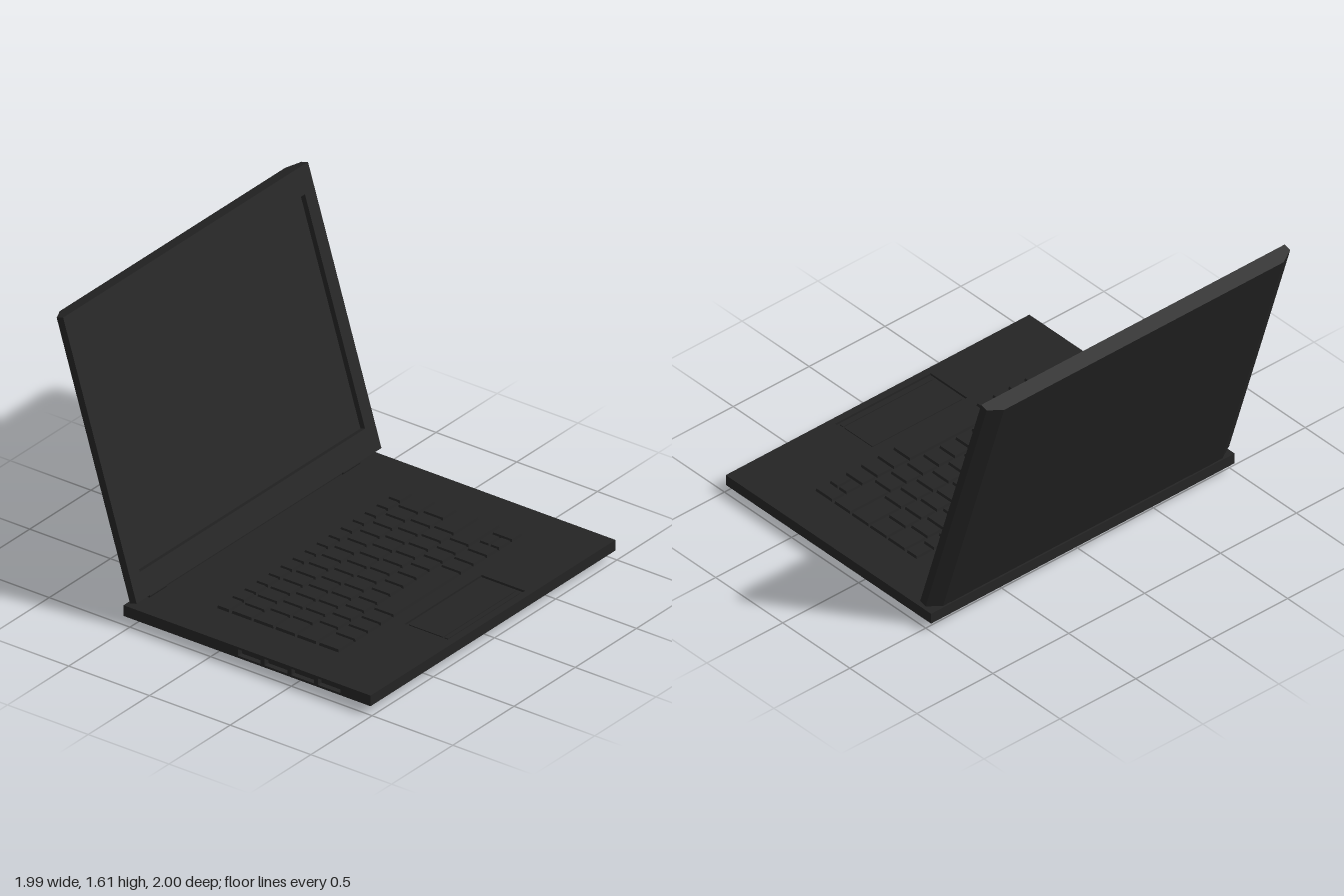
import * as THREE from 'three';

const material = new THREE.MeshStandardMaterial({ color: 0x242424, flatShading: true });

function add(parent, name, geometry, x = 0, y = 0, z = 0) {
  const mesh = new THREE.Mesh(geometry, material);
  mesh.name = name;
  mesh.position.set(x, y, z);
  parent.add(mesh);
  return mesh;
}

const outline = (points) => new THREE.Shape(points.map(([x, y]) => new THREE.Vector2(x, y)));
const rectangle = (x0, x1, y0, y1) => outline([[x0, y0], [x1, y0], [x1, y1], [x0, y1]]);
const extrude = (shape, depth) => new THREE.ExtrudeGeometry(shape, { depth, bevelEnabled: false });

// Plan outline (x, -z) raised along y
const slab = (shape, height) => extrude(shape, height).rotateX(-Math.PI / 2);

// Box whose top or bottom face is drawn in by the given amounts
function taperedBox(w, h, d, insetX, insetZ, atTop) {
  const geometry = new THREE.BoxGeometry(w, h, d);
  const p = geometry.attributes.position;
  for (let i = 0; i < p.count; i++) {
    if ((p.getY(i) > 0) !== atTop) continue;
    p.setX(i, p.getX(i) - Math.sign(p.getX(i)) * insetX);
    p.setZ(i, p.getZ(i) - Math.sign(p.getZ(i)) * insetZ);
  }
  geometry.computeVertexNormals();
  return geometry;
}

const BACK = -0.54, FRONT = 0.99;

function buildBase() {
  const base = new THREE.Group();
  base.name = 'base';
  add(base, 'bevelledUnderside', taperedBox(FRONT - BACK, 0.05, 2, 0.07, 0.09, false), (FRONT + BACK) / 2, 0.025, 0);
  add(base, 'lowerSlab', slab(rectangle(BACK, FRONT, -1, 1), 0.012), 0, 0.05, 0);

  // Middle layer, notched along one side for the ports
  const points = [[BACK, -1]];
  for (const x of [0.17, 0.335, 0.5, 0.665]) {
    points.push([x, -1], [x, -0.97], [x + 0.14, -0.97], [x + 0.14, -1]);
  }
  points.push([FRONT, -1], [FRONT, 1], [BACK, 1]);
  add(base, 'portLayer', slab(outline(points), 0.036), 0, 0.062, 0);

  // Top deck with the touchpad opening
  const deck = rectangle(BACK, FRONT, -1, 1);
  deck.holes.push(rectangle(0.68, 0.95, -0.315, 0.315));
  add(base, 'deck', slab(deck, 0.012), 0, 0.098, 0);
  add(base, 'touchpad', new THREE.BoxGeometry(0.21, 0.006, 0.59), 0.8, 0.1, 0);
  add(base, 'touchpadButton', new THREE.BoxGeometry(0.022, 0.006, 0.59), 0.924, 0.1, 0);
  return base;
}

function buildKeyboard() {
  const keyboard = new THREE.Group();
  keyboard.name = 'keyboard';
  const gap = 0.01;
  const key = (x0, x1, z0, z1) => add(keyboard, 'key',
    taperedBox(x1 - x0, 0.02, z1 - z0 - gap, 0.004, 0.004, true), (x0 + x1) / 2, 0.115, (z0 + z1) / 2);
  const many = (n, width) => Array(n).fill(width);

  // Each row: front-to-back range, then relative key widths from -z to +z
  const rows = [
    [-0.155, -0.08, [1.15, ...many(13, 1), 1.25]],
    [-0.065, 0.06, [1.45, ...many(13, 1)]],
    [0.07, 0.195, [1.2, ...many(12, 1), 1.3]],
    [0.205, 0.33, [2.05, ...many(11, 1), 1.35]],
    [0.34, 0.46, [2.5, ...many(10, 1), 1.7]],
    [0.475, 0.6, [0.9, 1, 0.95, 1.05, 1, 5.25, 1, 1, 1, 1.3]],
  ];
  rows.forEach(([x0, x1, widths], row) => {
    const unit = 1.51 / widths.reduce((a, b) => a + b);
    let z = -0.76;
    widths.forEach((width, i) => {
      const end = z + width * unit;
      if (row === 5 && i === 1) {
        // Two half-size arrow keys
        key(x0, 0.533, z, end);
        key(0.542, x1, z, end);
      } else key(x0, x1, z, end);
      z = end;
    });
  });
  return keyboard;
}

function buildLid() {
  const lid = new THREE.Group();
  lid.name = 'lid';
  const length = 1.53;
  // Back shell with bevelled sides
  const shell = outline([[0, -0.92], [0.043, -1], [0.053, -1], [0.053, 1], [0.043, 1], [0, 0.92]]);
  add(lid, 'lidShell', slab(shell, length));
  // Raised frame around the sunken screen
  const frame = rectangle(-1, 1, 0, length);
  frame.holes.push(rectangle(-0.92, 0.92, 0.137, 1.39));
  add(lid, 'screenFrame', extrude(frame, 0.032).rotateY(Math.PI / 2), 0.053, 0, 0);
  add(lid, 'screen', new THREE.BoxGeometry(0.004, 1.253, 1.84), 0.053, 0.7635, 0);
  lid.position.set(BACK, 0.12, 0);
  lid.rotation.z = 0.302;
  return lid;
}

function buildHinges() {
  const hinges = new THREE.Group();
  hinges.name = 'hinges';
  add(hinges, 'hingeBar', new THREE.BoxGeometry(0.03, 0.03, 1.44), -0.505, 0.12, 0);
  for (const side of [-1, 1]) {
    add(hinges, 'hingeKnuckle', new THREE.CylinderGeometry(0.026, 0.026, 0.14, 12).rotateX(Math.PI / 2), -0.508, 0.119, side * 0.79);
  }
  return hinges;
}

export function createModel() {
  const laptop = new THREE.Group();
  laptop.name = 'laptop';
  laptop.add(buildBase(), buildKeyboard(), buildLid(), buildHinges());
  return laptop;
}
